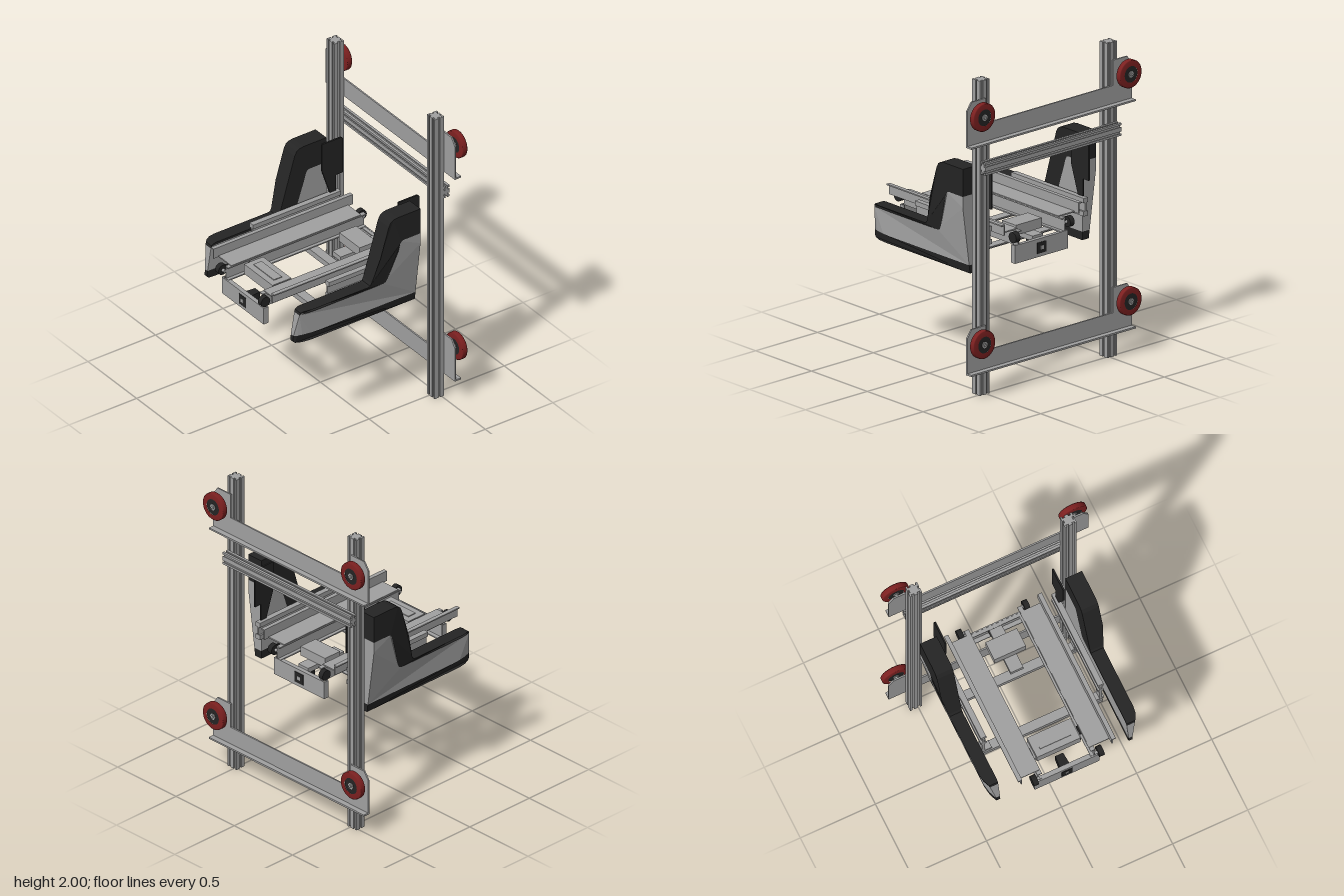
import * as THREE from 'three';

const mat = (name, color, side = THREE.FrontSide) => {
  const m = new THREE.MeshStandardMaterial({ color, side });
  m.name = name;
  return m;
};

export function createModel() {
  const root = new THREE.Group();
  root.name = 'wheeledLiftFrame';
  const grey = mat('aluminium grey', 0xa0a0a0);
  const black = mat('matt black', 0x242424);
  const red = mat('wheel red', 0x7c2020);

  const add = (name, geo, m, parent = root) => {
    const mesh = new THREE.Mesh(geo, m);
    mesh.name = name;
    parent.add(mesh);
    return mesh;
  };
  // box given by its limits
  const box = (name, m, x0, x1, y0, y1, z0, z1, parent) => {
    const g = new THREE.BoxGeometry(Math.abs(x1 - x0), y1 - y0, z1 - z0);
    g.translate((x0 + x1) / 2, (y0 + y1) / 2, (z0 + z1) / 2);
    return add(name, g, m, parent);
  };
  // cylinder along the x or z axis
  const rod = (name, m, axis, r, len, x, y, z, parent) => {
    const g = new THREE.CylinderGeometry(r, r, len, 32);
    if (axis === 'z') g.rotateX(Math.PI / 2);
    else g.rotateZ(Math.PI / 2);
    g.translate(x, y, z);
    return add(name, g, m, parent);
  };
  const polygon = (pts) => new THREE.Shape(pts.map((p) => new THREE.Vector2(...p)));
  const extrude = (shape, depth) =>
    new THREE.ExtrudeGeometry(shape, { depth, bevelEnabled: false, curveSegments: 8 });
  // (z, y) outline extruded along x, centred on x = 0
  const extrudeX = (shape, depth) =>
    extrude(shape, depth).translate(0, 0, -depth / 2).rotateY(-Math.PI / 2);

  // slotted profile: rectangle with grooves in all four edges
  const slotted = (w, h, nW, nH) => {
    const pts = [];
    const edges = [[w, h, nW], [h, w, nH], [w, h, nW], [h, w, nH]];
    edges.forEach(([len, across, n], i) => {
      const a = (i * Math.PI) / 2, c = Math.cos(a), s = Math.sin(a);
      const put = (t, d) => {
        const x = t - len / 2, y = -across / 2 + d;
        pts.push([x * c - y * s, x * s + y * c]);
      };
      put(0, 0);
      for (let k = 0; k < n; k++) {
        const t = (len * (k + 0.5)) / n;
        put(t - 0.006, 0); put(t - 0.006, 0.004); put(t - 0.01, 0.011);
        put(t + 0.01, 0.011); put(t + 0.006, 0.004); put(t + 0.006, 0);
      }
    });
    return polygon(pts);
  };

  // uprights and slotted crossbar
  for (const s of [-1, 1]) {
    const g = extrude(slotted(0.078, 0.07, 2, 1), 2).rotateX(-Math.PI / 2);
    add('upright', g.translate(s * 0.515, 0, -0.481), grey);
  }
  add('crossbar', extrudeX(slotted(0.045, 0.08, 1, 2), 1.1).translate(0, 1.45, -0.538), grey);

  // wheel carriers: eared plate, bottom flange and two wheels each
  for (const b of [0.158, 1.603]) {
    const carrier = new THREE.Group();
    carrier.name = 'wheelCarrier';
    root.add(carrier);
    const half = [[0.665, b], [0.665, b + 0.235], [0.63, b + 0.285], [0.515, b + 0.285], [0.515, b + 0.125]];
    const outline = [...half, ...half.map(([x, y]) => [-x, y]).reverse()];
    add('carrierPlate', extrude(polygon(outline), 0.01).translate(0, 0, -0.526), grey, carrier);
    box('carrierFlange', grey, -0.665, 0.665, b, b + 0.011, -0.562, -0.52, carrier);
    for (const s of [-1, 1]) {
      const x = s * 0.592, y = b + 0.197;
      const tyre = [[0.052, -0.019], [0.084, -0.019], [0.089, -0.014], [0.089, 0.014],
        [0.084, 0.019], [0.052, 0.019]].map((p) => new THREE.Vector2(...p));
      const g = new THREE.LatheGeometry(tyre, 40).rotateX(Math.PI / 2);
      add('wheelTyre', g.translate(x, y, -0.582), red, carrier);
      rod('wheelDisc', black, 'z', 0.053, 0.034, x, y, -0.582, carrier);
      rod('wheelHub', grey, 'z', 0.02, 0.042, x, y, -0.582, carrier);
      rod('axle', grey, 'z', 0.01, 0.088, x, y, -0.566, carrier);
      rod('axleCollar', grey, 'z', 0.023, 0.016, x, y, -0.534, carrier);
    }
  }

  // side rests: outer face leans out with height and rounds in at the nose
  const INNER = 0.428, WIDTH = 0.111;
  const restPart = (name, pts, m, s, parent) => {
    const g = extrudeX(polygon(pts), WIDTH).translate(s * (INNER + WIDTH / 2), 0, 0);
    const p = g.attributes.position;
    for (let i = 0; i < p.count; i++) {
      const t = (Math.abs(p.getX(i)) - INNER) / WIDTH;
      const lean = THREE.MathUtils.clamp((p.getY(i) - 0.72) / 0.43, 0, 1);
      const nose = THREE.MathUtils.clamp((p.getZ(i) - 0.42) / 0.11, 0, 1);
      const wide = (0.052 + 0.059 * lean) * (1 - 0.55 * nose * nose);
      p.setX(i, s * (INNER + t * wide) + 0.004);
    }
    g.computeVertexNormals();
    add(name, g, m, parent);
  };
  const sill = [[-0.35, 0.72], [0.42, 0.72], [0.48, 0.72], [0.52, 0.722], [0.534, 0.735],
    [0.53, 0.773], [0.51, 0.773], [0.48, 0.773], [0.42, 0.773], [-0.35, 0.773]];
  const panel = [[-0.35, 0.773], [0.42, 0.773], [0.48, 0.773], [0.51, 0.773], [0.53, 0.773],
    [0.505, 0.925], [0.495, 0.938], [0.46, 0.94], [0.42, 0.94], [-0.095, 0.94], [-0.112, 0.947],
    [-0.125, 0.97], [-0.185, 1.15], [-0.2, 1.2], [-0.21, 1.215], [-0.225, 1.22], [-0.35, 1.22], [-0.35, 1.15]];
  const cap = [[0.505, 0.925], [0.5, 0.942], [0.485, 0.953], [0.46, 0.956], [0.42, 0.956], [0.02, 0.956],
    [0.005, 0.962], [-0.005, 0.98], [-0.055, 1.15], [-0.115, 1.35], [-0.13, 1.378], [-0.15, 1.39],
    [-0.18, 1.395], [-0.35, 1.395], ...panel.slice(5, 17).reverse()];
  cap.pop();
  for (const s of [-1, 1]) {
    const rest = new THREE.Group();
    rest.name = s > 0 ? 'leftSideRest' : 'rightSideRest';
    root.add(rest);
    restPart('restSill', sill, black, s, rest);
    restPart('restPanel', panel, grey, s, rest);
    restPart('restCap', cap, black, s, rest);
    // upright black guard behind the rest
    const guard = [[-0.29, 1.385], [-0.29, 1.2], [-0.35, 1.02], [-0.395, 1.02], [-0.395, 1.13],
      [-0.445, 1.13], [-0.445, 1.375], [-0.435, 1.385]];
    add('guardPlate', extrudeX(polygon(guard), 0.011).translate(s * 0.393, 0, 0), black, rest);
    // slide holding the rest, with legs down to the cross members
    box('slideWeb', grey, s * 0.384, s * 0.394, 0.9, 1.015, -0.42, 0.23, rest);
    for (const y of [0.9, 0.985])
      box('slideLip', grey, s * 0.372, s * 0.408, y, y + 0.03, -0.42, 0.23, rest);
    for (const z of [-0.145, 0.205]) {
      box('slideLeg', grey, s * 0.382, s * 0.4, 0.77, 0.91, z - 0.025, z + 0.025, rest);
      box('slideFoot', grey, s * 0.335, s * 0.412, 0.768, 0.78, z - 0.025, z + 0.025, rest);
    }
  }

  // cross members, angle section
  for (const z of [-0.143, 0.208]) {
    box('crossMember', grey, -0.4, 0.4, 0.76, 0.768, z - 0.03, z + 0.03);
    box('crossMemberWeb', grey, -0.4, 0.4, 0.732, 0.768, z + 0.022, z + 0.03);
  }

  // load trays, long rails and end rollers
  for (const s of [-1, 1]) {
    box('trayPan', grey, s * 0.165, s * 0.305, 0.945, 0.953, -0.42, 0.54);
    box('trayWall', grey, s * 0.298, s * 0.306, 0.945, 1.014, -0.455, 0.575);
    box('trayLip', grey, s * 0.3, s * 0.325, 1.006, 1.014, -0.455, 0.575);
    box('railWeb', grey, s * 0.184, s * 0.192, 0.855, 0.947, -0.455, 0.565);
    for (const y of [0.853, 0.939])
      box('railFlange', grey, s * 0.162, s * 0.192, y, y + 0.008, -0.455, 0.565);
    for (const z of [-0.455, 0.575]) {
      rod('endRoller', black, 'x', 0.034, 0.034, s * 0.219, 0.916, z);
      rod('rollerPin', grey, 'x', 0.01, 0.05, s * 0.207, 0.916, z);
    }
    rod('driveRoller', black, 'x', 0.028, 0.034, s * 0.172, 0.888, 0.392);
  }

  // end plates with bottom flange, side returns and socket
  for (const [z, s] of [[0.575, 1], [-0.455, -1]]) {
    const zs = (a, b) => [Math.min(z - s * a, z - s * b), Math.max(z - s * a, z - s * b)];
    box('endPlate', grey, -0.215, 0.215, 0.745, 0.86, ...zs(0, 0.008));
    box('endPlateFlange', grey, -0.215, 0.215, 0.745, 0.753, ...zs(0, 0.035));
    box('endBeam', grey, -0.175, 0.175, 0.85, 0.858, ...zs(0, 0.03));
    for (const x of [-0.211, 0.211])
      box('endPlateReturn', grey, x - 0.004, x + 0.004, 0.745, 0.86, ...zs(0, 0.035));
    const socket = polygon([[-0.036, -0.008], [0.036, -0.008], [0.026, 0.105], [-0.026, 0.105]]);
    const g = extrude(socket, 0.07).rotateX(s > 0 ? -Math.PI / 2 : Math.PI / 2);
    add('socket', g.translate(0, s > 0 ? 0.767 : 0.837, z - s * 0.005), black);
    box('socketPin', grey, -0.012, 0.012, 0.79, 0.814, ...zs(-0.006, 0));
  }

  // drive unit and rear carriage block
  box('driveUnit', grey, -0.145, 0.145, 0.875, 0.944, 0.32, 0.46);
  box('driveUnitCheeks', grey, -0.156, 0.156, 0.868, 0.91, 0.335, 0.447);
  box('driveUnitPlate', grey, -0.105, 0.105, 0.943, 0.949, 0.36, 0.42);
  box('carriageBlock', grey, -0.105, 0.105, 0.872, 0.935, -0.34, -0.215);
  box('carriageTongue', grey, -0.042, 0.042, 0.84, 0.872, -0.42, -0.12);

  return root;
}
